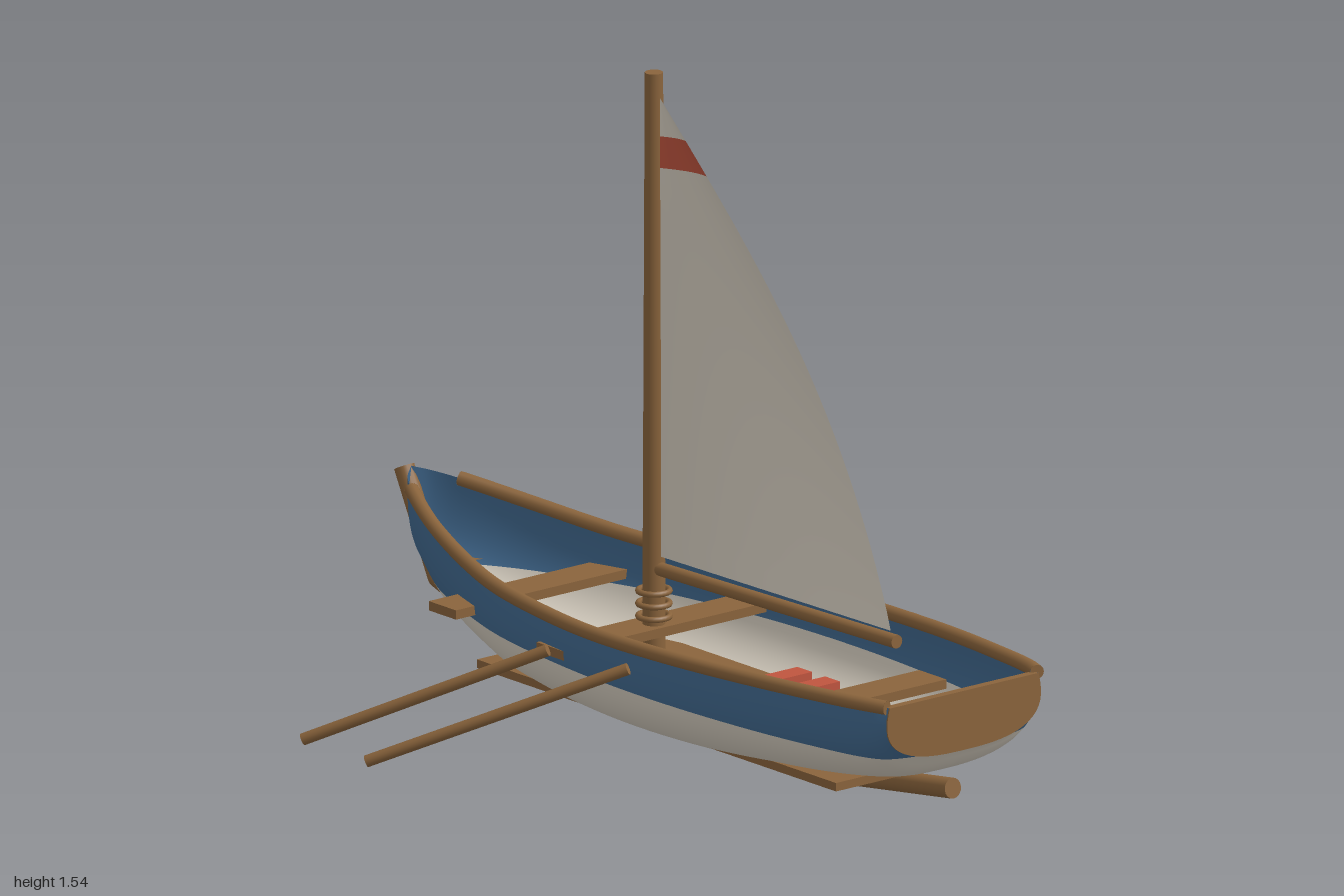
import * as THREE from 'three';

const CX = 0.25; // boat centreline
const mat = (name, color) => {
  const m = new THREE.MeshStandardMaterial({ color, side: THREE.DoubleSide });
  m.name = name;
  return m;
};

// Hull stations: z, half width at sheer, sheer height, bottom height
const STATIONS = [
  [0.997, 0.22, 0.33, 0.19], [0.95, 0.235, 0.33, 0.14], [0.85, 0.255, 0.327, 0.108],
  [0.6, 0.288, 0.32, 0.075], [0.3, 0.305, 0.31, 0.052], [0, 0.297, 0.303, 0.045],
  [-0.3, 0.26, 0.31, 0.055], [-0.5, 0.21, 0.325, 0.08], [-0.7, 0.145, 0.355, 0.125],
  [-0.85, 0.08, 0.385, 0.19], [-0.92, 0.04, 0.4, 0.235], [-0.955, 0, 0.412, 0.3],
];
const curveA = new THREE.CatmullRomCurve3(STATIONS.map(s => new THREE.Vector3(s[0], s[1], s[2])), false, 'catmullrom');
const curveB = new THREE.CatmullRomCurve3(STATIONS.map(s => new THREE.Vector3(s[0], s[3], 0)), false, 'catmullrom');
const station = t => {
  const a = curveA.getPoint(t), b = curveB.getPoint(t);
  return { z: a.x, w: Math.max(a.y, 0), s: a.z, b: b.y, n: 2.7 - 0.8 * t * t };
};
// Half width at depth ratio r (0 = sheer, 1 = keel)
const halfWidth = (st, r) => st.w * Math.pow(Math.max(0, 1 - Math.pow(r, st.n)), 1 / st.n) * (1 + 0.16 * r);

// Surface from a rule (u, v) -> [x, y, z]
function grid(fn, nu, nv) {
  const pos = [], idx = [];
  for (let i = 0; i <= nu; i++) for (let j = 0; j <= nv; j++) pos.push(...fn(i / nu, j / nv));
  for (let i = 0; i < nu; i++) for (let j = 0; j < nv; j++) {
    const a = i * (nv + 1) + j, b = a + nv + 1;
    idx.push(a, b, a + 1, b, b + 1, a + 1);
  }
  const g = new THREE.BufferGeometry();
  g.setAttribute('position', new THREE.Float32BufferAttribute(pos, 3));
  g.setIndex(idx);
  g.computeVertexNormals();
  return g;
}

export function createModel() {
  const root = new THREE.Group();
  root.name = 'sailingDinghy';
  const wood = mat('wood', 0x8a643c), cream = mat('cream', 0xd8d0c2);
  const blue = mat('blue', 0x41698f), red = mat('red', 0xc0553f);

  const add = (name, geo, m, parent = root) => {
    const mesh = new THREE.Mesh(geo, m);
    mesh.name = name;
    parent.add(mesh);
    return mesh;
  };
  const box = (name, x, y, z, w, h, d, m) => add(name, new THREE.BoxGeometry(w, h, d), m).position.set(x, y, z);
  const rod = (name, a, b, r0, r1 = r0, parent = root) => {
    const p = new THREE.Vector3(...a), q = new THREE.Vector3(...b), dir = q.clone().sub(p);
    const mesh = add(name, new THREE.CylinderGeometry(r1, r0, dir.length(), 16), wood, parent);
    mesh.position.copy(p).add(q).multiplyScalar(0.5);
    mesh.quaternion.setFromUnitVectors(new THREE.Vector3(0, 1, 0), dir.normalize());
  };

  // Hull, split at the waterline into painted topsides and bottom
  const WATER = 0.2;
  const split = st => THREE.MathUtils.clamp((st.s - WATER) / (st.s - st.b), 0, 1);
  for (const side of [-1, 1]) {
    const point = (st, r) => [CX + side * halfWidth(st, r), st.s - r * (st.s - st.b), st.z];
    const order = (u, v) => (side > 0 ? [u, v] : [u, 1 - v]);
    add('hullTopside', grid((u, v) => {
      const [t, k] = order(u, v), st = station(t);
      return point(st, split(st) * Math.sin(k * Math.PI / 2));
    }, 66, 10), blue);
    add('hullBottom', grid((u, v) => {
      const [t, k] = order(u, v), st = station(t), r = split(st);
      return point(st, r + (1 - r) * Math.sin(k * Math.PI / 2));
    }, 66, 14), cream);
    // Gunwale along the sheer
    const rail = [];
    for (let i = 0; i <= 24; i++) {
      const st = station(0.01 + i / 24 * 0.825);
      rail.push(new THREE.Vector3(CX + side * st.w, st.s, st.z));
    }
    const path = new THREE.CatmullRomCurve3(rail);
    add('gunwale', new THREE.TubeGeometry(path, 60, 0.017, 10), wood);
    for (const t of [0, 1]) {
      const cap = add('gunwaleEnd', new THREE.CircleGeometry(0.017, 10), wood);
      cap.position.copy(path.getPoint(t));
      cap.lookAt(cap.position.clone().addScaledVector(path.getTangent(t), t ? 1 : -1));
    }
  }

  // Transom
  const stern = station(0), outline = [];
  for (let i = -16; i <= 16; i++) {
    const r = Math.sin((1 - Math.abs(i) / 16) * Math.PI / 2);
    outline.push(new THREE.Vector2(CX + Math.sign(i) * halfWidth(stern, r), stern.s - r * (stern.s - stern.b)));
  }
  add('transom', new THREE.ExtrudeGeometry(new THREE.Shape(outline), { depth: 0.02, bevelEnabled: false }), wood)
    .position.z = 0.98;

  // Keel and stem
  const keel = [[0.96, 0.09], [0.5, 0.025], [-0.42, 0.025], [-0.86, 0.17], [-0.98, 0.405]];
  for (let i = 0; i < keel.length - 1; i++) {
    const [a, b] = [keel[i], keel[i + 1]];
    rod(i === 3 ? 'stem' : 'keel', [CX, a[1], a[0]], [CX, b[1], b[0]], 0.024);
    if (i) add('keelJoint', new THREE.SphereGeometry(0.024, 16, 10), wood).position.set(CX, a[1], a[0]);
  }

  // Floor, bow filler and seats
  box('floor', CX, 0.1, 0.175, 0.44, 0.02, 1.27, wood);
  const filler = new THREE.Shape([[-0.075, 0.79], [0, 0.81], [0.075, 0.79], [0.045, 0.85], [0, 0.9], [-0.045, 0.85]]
    .map(p => new THREE.Vector2(...p)));
  const bow = add('bowFiller', new THREE.ShapeGeometry(filler), wood);
  bow.rotation.x = -Math.PI / 2;
  bow.position.set(CX, 0.215, 0);
  for (const [z, w] of [[-0.51, 0.56], [-0.105, 0.6], [0.62, 0.45]]) box('seat', CX, 0.226, z, w, 0.022, 0.096, wood);

  // Ballast blocks
  for (const x of [-0.136, 0, 0.136]) for (const z of [0.205, 0.303]) {
    box('ballastBlock', CX + x, 0.135, z, 0.115, 0.05, 0.052, red);
  }

  // Mast, boom and rope coils
  rod('mast', [CX, 0.09, -0.097], [CX, 1.542, -0.097], 0.027, 0.021);
  rod('boom', [CX, 0.37, -0.09], [CX, 0.391, 0.762], 0.016);
  for (const y of [0.255, 0.285, 0.315]) {
    const coil = add('ropeCoil', new THREE.TorusGeometry(0.036, 0.007, 8, 24), wood);
    coil.rotation.x = Math.PI / 2;
    coil.position.set(CX, y, -0.097);
  }

  // Bellied triangular sail with a coloured band
  const sail = (t, u) => [
    CX + 0.083 * Math.sin(Math.PI * Math.pow(t, 0.9)) * Math.sin(u * Math.PI * 0.58),
    0.4 + 1.085 * t + 0.012 * u * (1 - t),
    -0.075 + 0.815 * u * (1 - t),
  ];
  for (const [name, a, b, n, m] of [['sailLower', 0, 0.848, 24, cream], ['sailBand', 0.848, 0.917, 3, red], ['sailTip', 0.917, 1, 3, cream]]) {
    add(name, grid((v, u) => sail(a + (b - a) * v, u), n, 16), m);
  }

  // Oars lying alongside
  rod('oar', [-0.56, 0.055, -0.37], [-0.205, 0.3, 0.072], 0.014);
  rod('oar', [-0.56, 0.055, -0.145], [-0.16, 0.3, 0.302], 0.014);
  return root;
}
